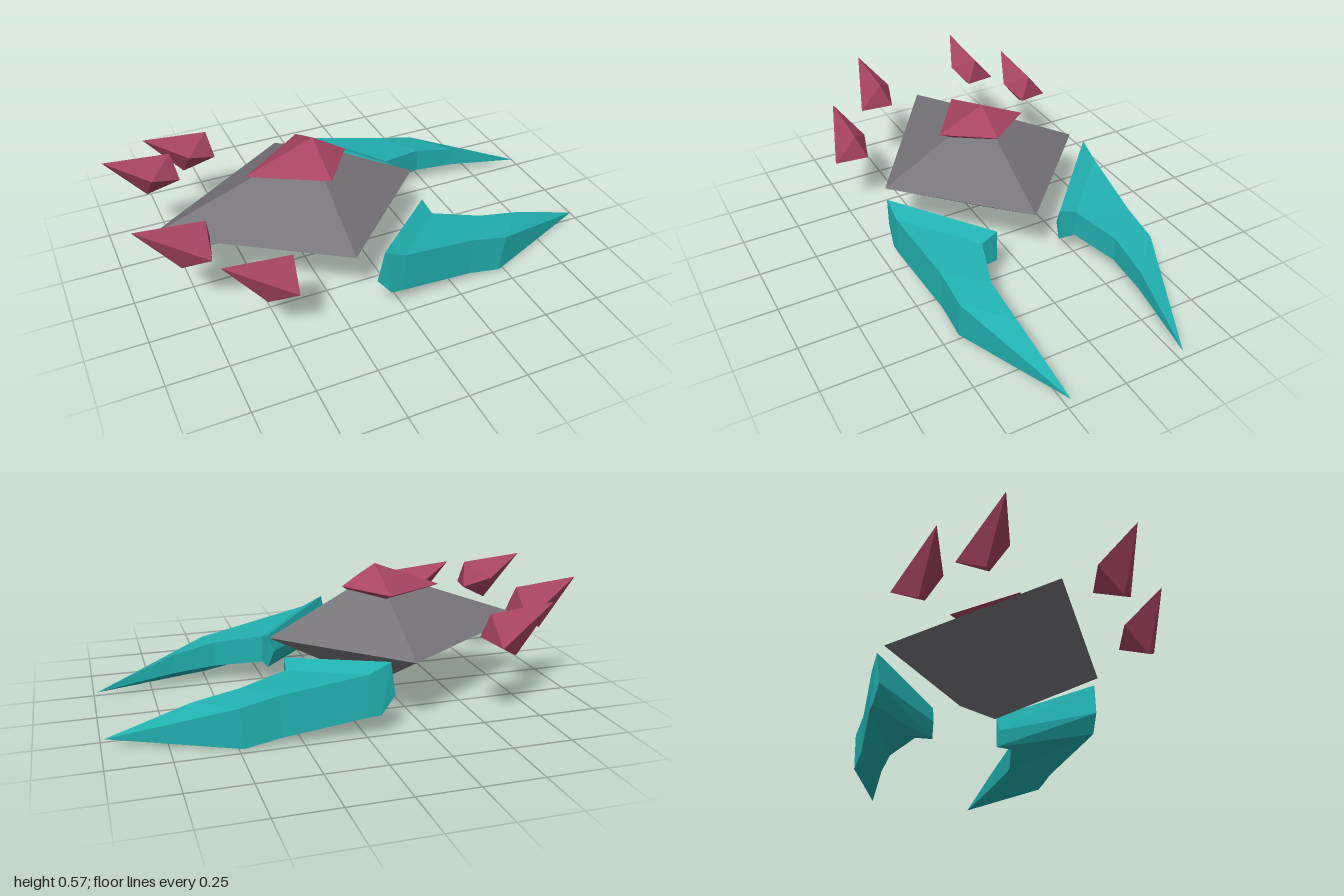
import * as THREE from 'three';
import { ConvexGeometry } from 'three/addons/geometries/ConvexGeometry.js';

const mat = (color) => new THREE.MeshStandardMaterial({ color, flatShading: true });
const bodyMat = mat(0x77757a);
const crystalMat = mat(0xa84462);
const clawMat = mat(0x22b0b0);

function part(name, geometry, material) {
  const mesh = new THREE.Mesh(geometry, material);
  mesh.name = name;
  return mesh;
}

// Faceted solid from its corner points
const solid = (points) => new ConvexGeometry(points.map((p) => new THREE.Vector3(...p)));

// Claw cross-sections from root to tip: outer top, outer bottom, inner bottom, inner top
const clawRings = [
  [[-0.115, 0.165, 0.475], [-0.115, 0.165, 0.475], [0.22, 0.17, 0.155], [0.22, 0.17, 0.155]],
  [[-0.09, 0.308, 0.485], [-0.055, 0.092, 0.485], [0.25, 0.1, 0.15], [0.25, 0.247, 0.15]],
  [[0, 0.265, 0.485], [0, 0.088, 0.485], [0.26, 0.1, 0.225], [0.26, 0.22, 0.225]],
  [[0.335, 0.205, 0.445], [0.335, 0.03, 0.445], [0.46, 0.08, 0.29], [0.46, 0.19, 0.29]],
  [[0.495, 0.17, 0.445], [0.48, 0.003, 0.445], [0.65, 0.065, 0.285], [0.65, 0.15, 0.285]],
  Array(4).fill([0.985, 0.025, 0.25]),
];

// Loft through the rings; side = 1 or -1 mirrors across z and keeps faces outward
function clawGeometry(side) {
  const pos = clawRings.flat().flatMap(([x, y, z]) => [x, y, z * side]);
  const index = [];
  const tri = (a, b, c) => (side > 0 ? index.push(a, b, c) : index.push(a, c, b));
  const last = clawRings.length - 2;
  for (let r = 0; r <= last; r++) {
    for (let k = 0; k < 4; k++) {
      const a = r * 4 + k, b = r * 4 + ((k + 1) % 4);
      const foldedStart = r === 0 && k % 2 === 0;
      if (!foldedStart) tri(a, b, b + 4);
      if (r < last) tri(a, b + 4, a + 4);
    }
  }
  const g = new THREE.BufferGeometry();
  g.setAttribute('position', new THREE.Float32BufferAttribute(pos, 3));
  g.setIndex(index);
  const flat = g.toNonIndexed();
  flat.computeVertexNormals();
  return flat;
}

export function createModel() {
  const model = new THREE.Group();
  model.name = 'crystalCrab';

  // Main body: stretched octahedron
  model.add(part('body', solid([
    [-0.89, 0.29, -0.035], [0.28, 0.29, -0.035],
    [-0.195, 0.29, 0.43], [-0.195, 0.29, -0.5],
    [-0.195, 0.545, -0.035], [-0.195, 0.038, -0.035],
  ]), bodyMat));

  // Gem set into the top of the body
  model.add(part('topGem', solid([
    [-0.48, 0.465, -0.03], [-0.04, 0.487, -0.03],
    [-0.185, 0.485, 0.17], [-0.185, 0.485, -0.23],
    [-0.185, 0.578, -0.03], [-0.185, 0.39, -0.03],
  ]), crystalMat));

  // Floating shards: tip, four belt corners, blunt end; measured from the tip
  const shard = [
    [0, 0, 0], [0.262, -0.143, 0.097], [0.275, -0.025, 0.002],
    [0.173, -0.09, -0.078], [0.162, -0.205, 0.015], [0.295, -0.133, -0.043],
  ];
  const shards = [
    ['leftOuterShard', -0.735, 0.437, 0.452, 1],
    ['leftInnerShard', -0.993, 0.513, 0.22, 1],
    ['rightInnerShard', -0.998, 0.52, -0.278, -1],
    ['rightOuterShard', -0.796, 0.475, -0.462, -1],
  ];
  for (const [name, x, y, z, side] of shards) {
    const mesh = part(name, solid(shard.map(([a, b, c]) => [a, b, c * side])), crystalMat);
    mesh.position.set(x, y, z);
    model.add(mesh);
  }

  // Pair of mirrored claws
  for (const [name, side] of [['leftClaw', 1], ['rightClaw', -1]]) {
    const claw = part(name, clawGeometry(side), clawMat);
    claw.position.z = -0.02;
    model.add(claw);
  }
  return model;
}
